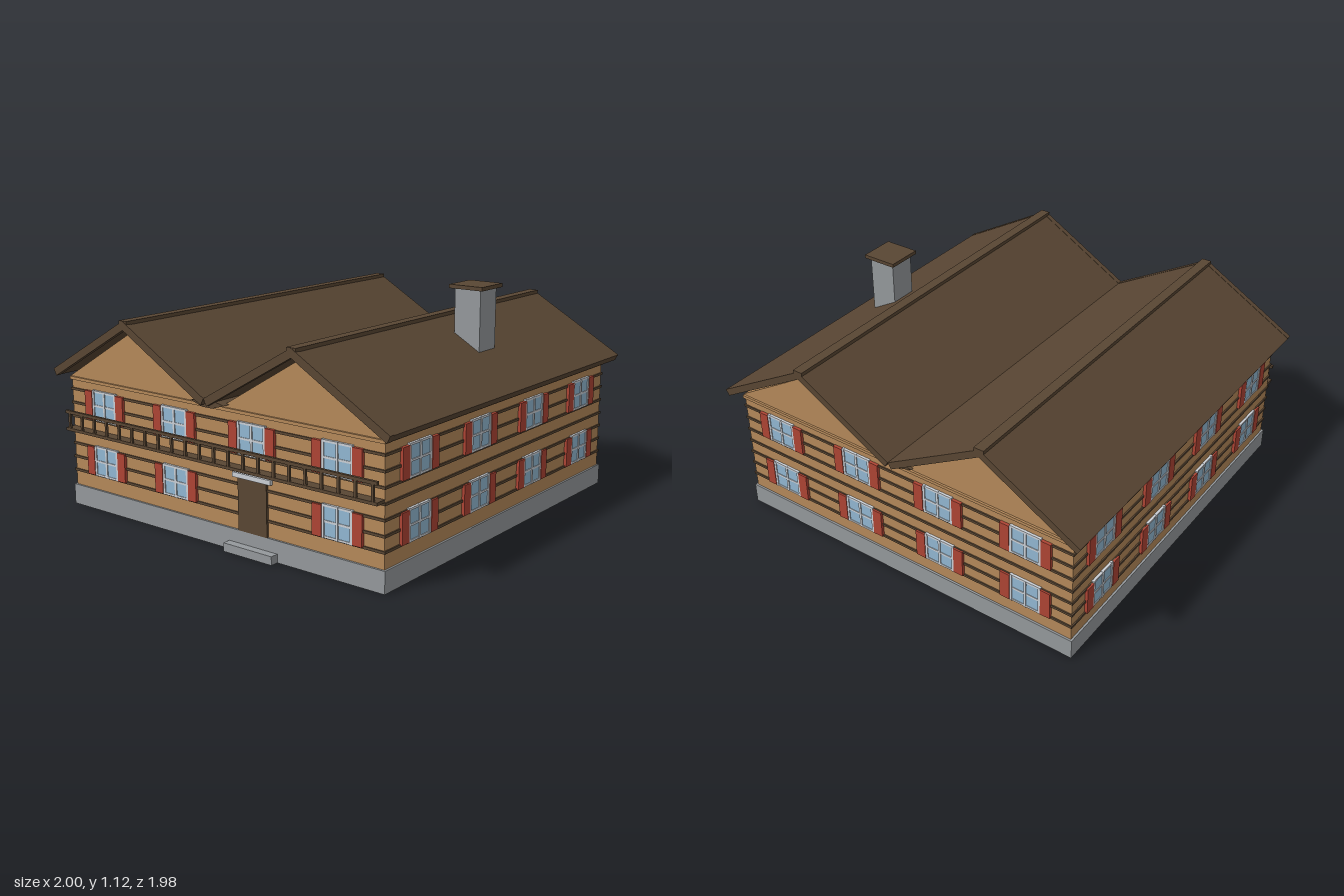
import * as THREE from 'three';

const material = (name, color) => {
  const m = new THREE.MeshStandardMaterial({ color });
  m.name = name;
  return m;
};

export function createModel() {
  const house = new THREE.Group();
  house.name = 'chalet';
  const timber = material('timber', 0xb5895a);
  const darkWood = material('dark wood', 0x594633);
  const stone = material('stone', 0x95999c);
  const red = material('shutter red', 0xae4434);
  const glass = material('window glass', 0x92b8d3);
  const pale = material('pale frame', 0xccd1d7);

  const add = (parent, name, geometry, mat) => {
    const mesh = new THREE.Mesh(geometry, mat);
    mesh.name = name;
    parent.add(mesh);
    return mesh;
  };
  const box = (parent, name, mat, w, h, d, x, y, z) => {
    const mesh = add(parent, name, new THREE.BoxGeometry(w, h, d), mat);
    mesh.position.set(x, y, z);
    return mesh;
  };
  // Profile in the x-y plane, swept from z0 to z1
  const prism = (name, mat, points, z0, z1) => {
    const shape = new THREE.Shape(points.map(([x, y]) => new THREE.Vector2(x, y)));
    const geometry = new THREE.ExtrudeGeometry(shape, { depth: z1 - z0, bevelEnabled: false });
    return add(house, name, geometry.translate(0, 0, z0), mat);
  };

  // Foundation and entrance step
  box(house, 'foundation', stone, 1.89, 0.1, 1.89, 0, 0.05, 0);
  box(house, 'doorStep', stone, 0.28, 0.04, 0.08, 0.234, 0.02, 0.945);

  // Log walls with dark joints and a top plate
  const wall = 0.935;
  box(house, 'walls', timber, wall * 2, 0.535, wall * 2, 0, 0.3675, 0);
  for (let i = 0; i < 7; i++) {
    box(house, 'logJoint', darkWood, 1.882, 0.012, 1.882, 0, 0.175 + i * 0.068, 0);
  }
  box(house, 'wallPlate', timber, 1.88, 0.015, 1.89, 0, 0.637, 0);

  // Twin gables and roofs
  const hang = 0.99;
  for (const cx of [-0.5, 0.5]) {
    prism('gable', timber, [
      [cx - 0.44, 0.635], [cx + 0.44, 0.635], [cx + 0.44, 0.648], [cx, 0.91], [cx - 0.44, 0.648],
    ], -wall, wall);
    for (const s of [-1, 1]) {
      const slope = [
        [cx + s * 0.5, 0.68], [cx, 0.965], [cx, 0.927], [cx + s * 0.483, 0.651],
      ];
      prism('roofSlope', darkWood, slope, -hang, hang - 0.025);
      prism('bargeBoard', darkWood, slope.map(([x, y], i) => [x, i < 2 ? y + 0.002 : y - 0.002]),
        hang - 0.025, hang + 0.002);
    }
    box(house, 'ridgeCap', darkWood, 0.05, 0.036, hang * 2, cx, 0.95, 0);
  }
  prism('valleyGutter', darkWood, [
    [-0.1, 0.658], [-0.03, 0.637], [0.03, 0.637], [0.1, 0.658], [0, 0.68],
  ], -0.95, hang - 0.02);

  // Chimney
  box(house, 'chimney', stone, 0.137, 0.4, 0.137, 0.693, 0.905, -0.1);
  box(house, 'chimneyCap', darkWood, 0.177, 0.018, 0.177, 0.693, 1.111, -0.1);

  // Shuttered windows, four per floor on each side
  const makeWindow = (parent, x, y) => {
    const g = new THREE.Group();
    g.name = 'window';
    g.position.set(x, y, wall);
    parent.add(g);
    box(g, 'pane', glass, 0.15, 0.14, 0.009, 0, 0, 0.0045);
    for (const k of [-1, 0, 1]) {
      box(g, 'uprightBar', pale, 0.012, 0.15, 0.013, k * 0.074, 0, 0.0065);
      box(g, 'crossBar', pale, 0.158, 0.01, 0.012, 0, k * 0.069, 0.006);
    }
    for (const s of [-1, 1]) {
      box(g, 'shutter', red, 0.05, 0.14, 0.015, s * 0.106, -0.002, 0.0075);
    }
  };
  const columns = [-0.701, -0.234, 0.234, 0.701];
  for (let side = 0; side < 4; side++) {
    const face = new THREE.Group();
    face.name = ['frontWindows', 'leftWindows', 'backWindows', 'rightWindows'][side];
    face.rotation.y = side * Math.PI / 2;
    house.add(face);
    columns.forEach((x, i) => {
      makeWindow(face, x, 0.523);
      if (side !== 0 || i !== 2) makeWindow(face, x, 0.247);
    });
  }

  // Front door with lintel
  box(house, 'door', darkWood, 0.166, 0.245, 0.015, 0.234, 0.2225, wall + 0.004);
  box(house, 'doorLintel', pale, 0.22, 0.022, 0.02, 0.234, 0.354, wall + 0.006);

  // Balcony across the front
  const balcony = new THREE.Group();
  balcony.name = 'balcony';
  house.add(balcony);
  box(balcony, 'balconyFloor', darkWood, 1.87, 0.014, 0.055, 0, 0.391, 0.96);
  box(balcony, 'handRail', darkWood, 1.87, 0.015, 0.014, 0, 0.477, 0.981);
  for (let i = 0; i < 22; i++) {
    box(balcony, 'baluster', darkWood, 0.013, 0.08, 0.01, -0.91 + i * 1.82 / 21, 0.434, 0.981);
  }
  return house;
}
